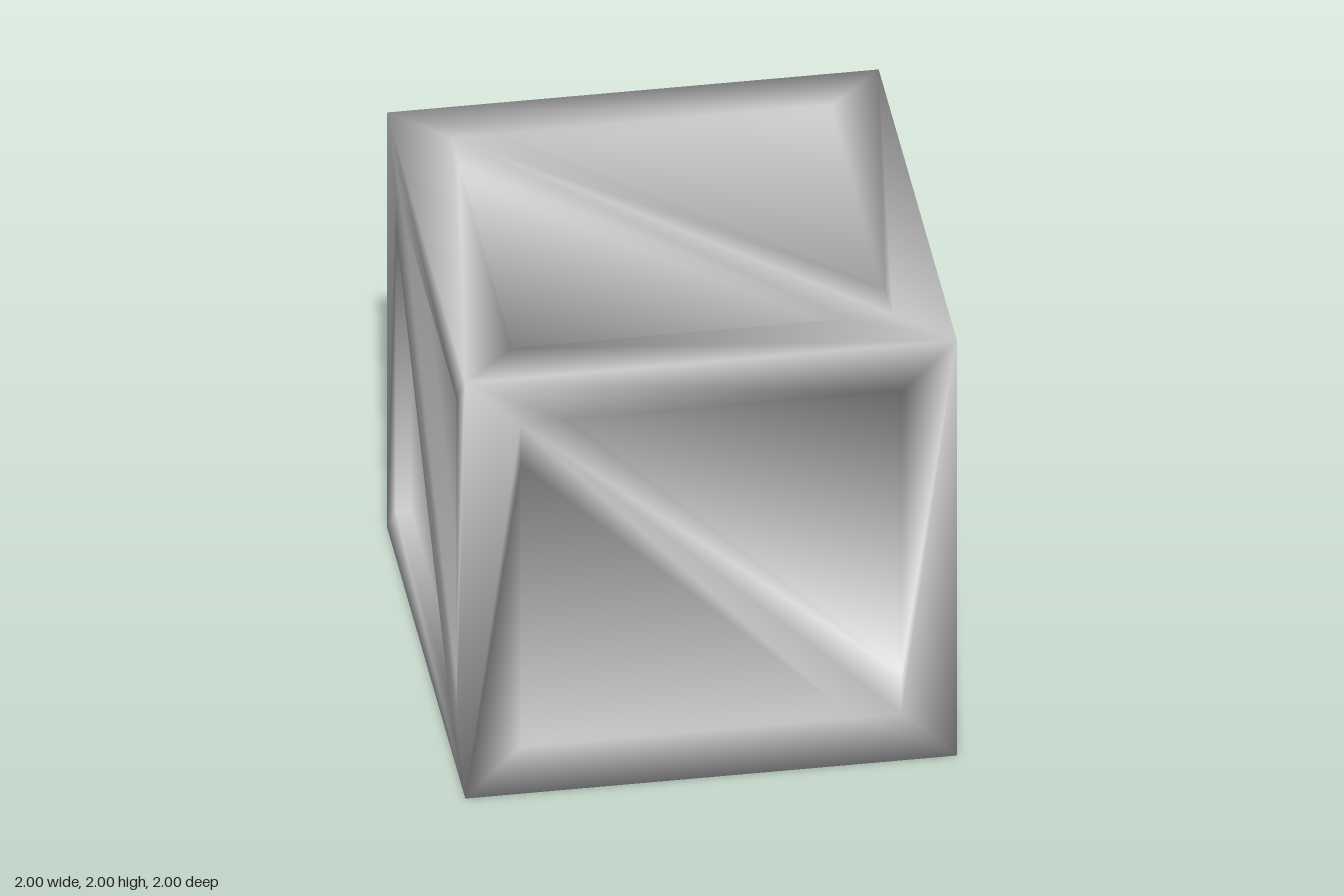
import * as THREE from 'three';

const INNER = 0.775;  // half width of the framed opening
const TIP = 0.58;     // where the brace edges meet the frame
const DEPTH = 0.06;   // recess of the panels

const X = new THREE.Vector3(1, 0, 0);
const Y = new THREE.Vector3(0, 1, 0);
const Z = new THREE.Vector3(0, 0, 1);
const neg = (v) => v.clone().negate();

// right and up direction of each crate side, as seen from outside
const SIDES = [
  [X, Y], [neg(Z), Y], [neg(X), Y], [Z, Y], [X, neg(Z)], [neg(Z), X],
];

const key = (p) => p.toArray().map((n) => Math.round(n * 1000)).join();

// Polygons of one side, sorted by part
function addSide(parts, right, up) {
  const out = right.clone().cross(up);
  const at = ([u, v], h = 1) => new THREE.Vector3()
    .addScaledVector(right, u).addScaledVector(up, v).addScaledVector(out, h);

  // each half repeats after a half turn
  for (const s of [1, -1]) {
    const q = (u, v) => [u * s, v * s];
    const i = INNER, t = TIP;

    // upright and cross rail of the frame
    parts.frame.push([q(-1, -1), q(-i, -i), q(-i, t), q(-i, i), q(-1, 1)].map((p) => at(p)));
    parts.frame.push([q(-1, 1), q(-i, i), q(-t, i), q(i, i), q(1, 1)].map((p) => at(p)));

    // recessed triangular panel and its walls
    const tri = [q(-t, i), q(i, -t), q(i, i)];
    parts.panels.push(tri.map((p) => at(p, 1 - DEPTH)));
    tri.forEach((a, n) => {
      const b = tri[(n + 1) % 3];
      parts.recessWalls.push([at(a), at(b), at(b, 1 - DEPTH), at(a, 1 - DEPTH)]);
    });
  }

  // diagonal brace
  parts.braces.push([
    [-INNER, INNER], [-INNER, TIP], [TIP, -INNER],
    [INNER, -INNER], [INNER, -TIP], [-TIP, INNER],
  ].map((p) => at(p)));
}

// Every plane meeting at a point counts once in its smooth normal
function smoothNormals(polygons) {
  const planes = new Map();
  for (const poly of polygons) {
    const n = new THREE.Vector3().subVectors(poly[1], poly[0])
      .cross(new THREE.Vector3().subVectors(poly[2], poly[0])).normalize();
    for (const p of poly) {
      const k = key(p);
      if (!planes.has(k)) planes.set(k, []);
      const list = planes.get(k);
      if (!list.some((m) => m.dot(n) > 0.99)) list.push(n);
    }
  }
  const normals = new Map();
  for (const [k, list] of planes) {
    const sum = new THREE.Vector3();
    list.forEach((n) => sum.add(n));
    normals.set(k, sum.normalize());
  }
  return normals;
}

// Fan triangles for a list of polygons
function buildGeometry(polygons, normals) {
  const pos = [], nor = [];
  for (const poly of polygons) {
    for (let n = 1; n < poly.length - 1; n++) {
      for (const p of [poly[0], poly[n], poly[n + 1]]) {
        pos.push(p.x, p.y + 1, p.z);
        nor.push(...normals.get(key(p)).toArray());
      }
    }
  }
  const geo = new THREE.BufferGeometry();
  geo.setAttribute('position', new THREE.Float32BufferAttribute(pos, 3));
  geo.setAttribute('normal', new THREE.Float32BufferAttribute(nor, 3));
  return geo;
}

export function createModel() {
  const crate = new THREE.Group();
  crate.name = 'crate';
  const material = new THREE.MeshStandardMaterial({ color: 0xcccccc });

  const parts = { frame: [], braces: [], panels: [], recessWalls: [] };
  for (const [right, up] of SIDES) addSide(parts, right, up);

  const normals = smoothNormals(Object.values(parts).flat());
  for (const [name, polygons] of Object.entries(parts)) {
    const mesh = new THREE.Mesh(buildGeometry(polygons, normals), material);
    mesh.name = name;
    crate.add(mesh);
  }
  return crate;
}
